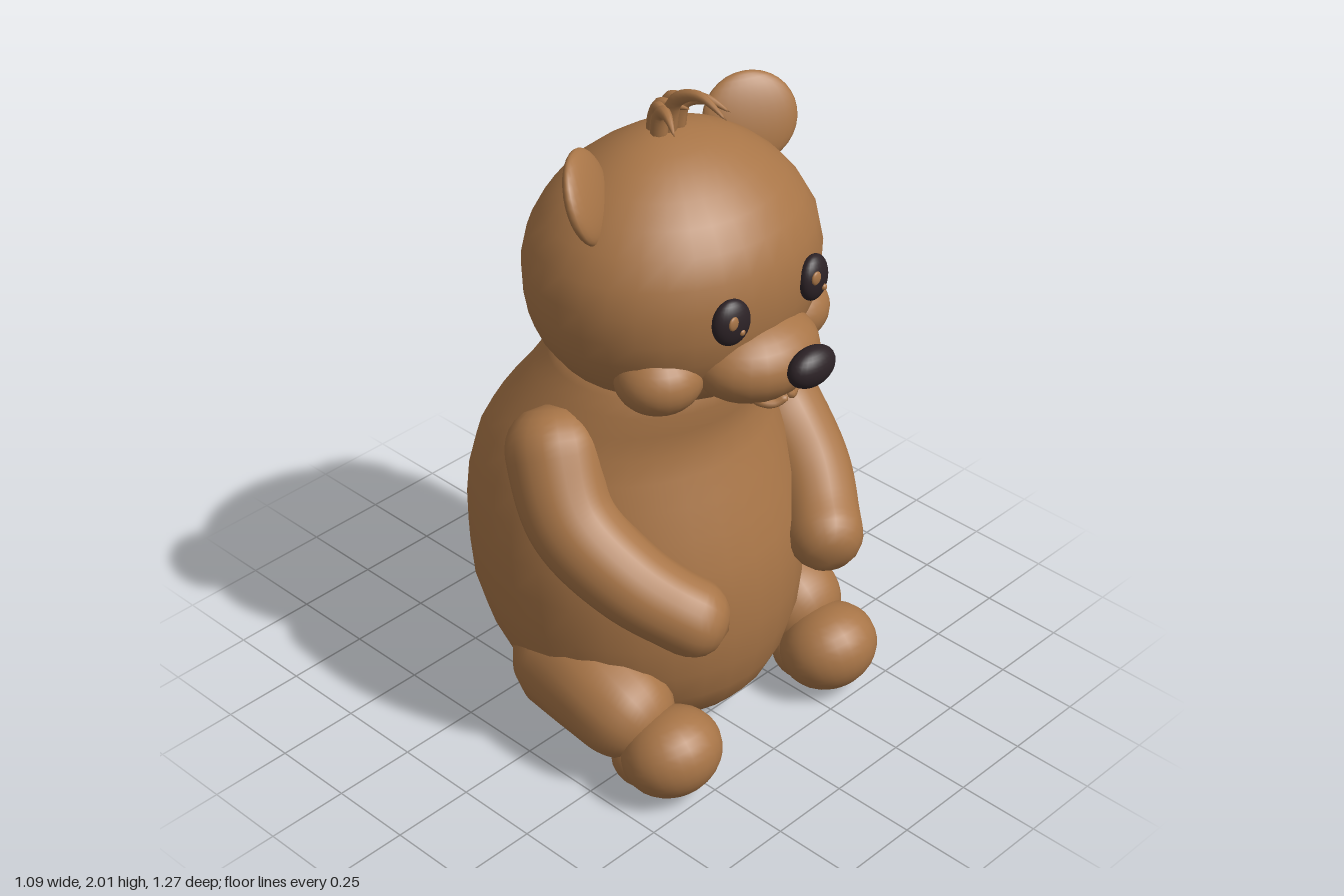
import * as THREE from 'three';
import { mergeVertices } from 'three/addons/utils/BufferGeometryUtils.js';

const fur = new THREE.MeshStandardMaterial({ color: 0xa87547 });
fur.name = 'brown fur';
const dark = new THREE.MeshStandardMaterial({ color: 0x2c2226 });
dark.name = 'dark eyes and nose';

function add(parent, name, geometry, material = fur) {
  const mesh = new THREE.Mesh(geometry, material);
  mesh.name = name;
  parent.add(mesh);
  return mesh;
}

function ellipsoid(parent, name, pos, radii, material = fur, rot = [0, 0, 0]) {
  const mesh = add(parent, name, new THREE.SphereGeometry(1, 24, 16), material);
  mesh.position.set(...pos);
  mesh.scale.set(...radii);
  mesh.rotation.set(...rot);
  return mesh;
}

// Elliptical rings stacked upward; each row is [y, half width, front z, back z]
function loft(rows, segs = 32) {
  const pos = [], index = [];
  rows.forEach(([y, w, f, b], r) => {
    for (let i = 0; i < segs; i++) {
      const a = (i / segs) * Math.PI * 2;
      pos.push(w * Math.sin(a), y, (f + b) / 2 + ((f - b) / 2) * Math.cos(a));
      if (r === 0) continue;
      const j = (i + 1) % segs, lo = (r - 1) * segs, hi = r * segs;
      index.push(lo + i, lo + j, hi + j, lo + i, hi + j, hi + i);
    }
  });
  const g = new THREE.BufferGeometry();
  g.setAttribute('position', new THREE.Float32BufferAttribute(pos, 3));
  g.setIndex(index);
  g.computeVertexNormals();
  return g;
}

// Tube along a curve with varying radius and rounded ends
function limb(points, radii, n = 40, segs = 18) {
  const curve = new THREE.CatmullRomCurve3(points.map(p => new THREE.Vector3(...p)));
  const len = curve.getLength();
  const g = new THREE.TubeGeometry(curve, n, 1, segs);
  const p = g.attributes.position, v = new THREE.Vector3();
  for (let i = 0; i <= n; i++) {
    const u = i / n, c = curve.getPointAt(u);
    const k = Math.min(Math.floor(u * (radii.length - 1)), radii.length - 2);
    let r = THREE.MathUtils.lerp(radii[k], radii[k + 1], u * (radii.length - 1) - k);
    const d = Math.min(u, 1 - u) * len;
    if (d < r) r *= Math.sqrt(Math.max(0, 1 - (1 - d / r) ** 2));
    for (let j = 0; j <= segs; j++) {
      const id = i * (segs + 1) + j;
      v.fromBufferAttribute(p, id).sub(c).multiplyScalar(r).add(c);
      p.setXYZ(id, v.x, v.y, v.z);
    }
  }
  g.deleteAttribute('uv');
  g.deleteAttribute('normal');
  const merged = mergeVertices(g, 1e-5);
  merged.computeVertexNormals();
  return merged;
}

export function createModel() {
  const bear = new THREE.Group();
  bear.name = 'bear';

  // Torso with a soft neck fold
  add(bear, 'body', loft([
    [0.045, 0, 0.05, 0.05], [0.05, 0.15, 0.22, -0.17], [0.09, 0.27, 0.32, -0.29],
    [0.15, 0.36, 0.37, -0.39], [0.22, 0.42, 0.4, -0.44], [0.32, 0.46, 0.425, -0.49],
    [0.43, 0.482, 0.435, -0.53], [0.55, 0.49, 0.43, -0.54], [0.65, 0.488, 0.41, -0.54],
    [0.75, 0.475, 0.38, -0.53], [0.85, 0.455, 0.345, -0.5], [0.93, 0.43, 0.315, -0.455],
    [1.0, 0.4, 0.295, -0.405], [1.07, 0.365, 0.3, -0.35], [1.13, 0.335, 0.31, -0.31],
    [1.18, 0.305, 0.305, -0.27], [1.24, 0.27, 0.27, -0.24], [1.3, 0, 0, 0],
  ]));

  // Head
  const head = new THREE.Group();
  head.name = 'head';
  bear.add(head);
  add(head, 'skull', loft([
    [1.155, 0, 0.08, 0.08], [1.16, 0.16, 0.28, -0.1], [1.185, 0.26, 0.345, -0.19],
    [1.23, 0.325, 0.385, -0.235], [1.3, 0.38, 0.425, -0.265], [1.37, 0.415, 0.45, -0.283],
    [1.44, 0.43, 0.462, -0.292], [1.52, 0.434, 0.464, -0.295], [1.6, 0.415, 0.45, -0.28],
    [1.67, 0.375, 0.415, -0.245], [1.73, 0.325, 0.365, -0.2], [1.78, 0.265, 0.305, -0.14],
    [1.82, 0.2, 0.24, -0.08], [1.845, 0.135, 0.18, -0.03], [1.86, 0.07, 0.12, 0.02],
    [1.863, 0, 0.07, 0.07],
  ]));
  ellipsoid(head, 'muzzle', [0, 1.315, 0.385], [0.195, 0.122, 0.165]);
  ellipsoid(head, 'chin', [0, 1.225, 0.41], [0.09, 0.04, 0.075]);
  ellipsoid(head, 'nose', [0, 1.355, 0.588], [0.081, 0.056, 0.046], dark);

  for (const s of [1, -1]) {
    ellipsoid(head, 'cheek', [s * 0.25, 1.3, 0.275], [0.125, 0.1, 0.12]);
    add(head, 'lip', limb([[s * 0.005, 1.235, 0.515], [s * 0.035, 1.215, 0.495],
      [s * 0.07, 1.225, 0.475], [s * 0.1, 1.25, 0.475]], [0.012, 0.014, 0.01], 14, 8));
    ellipsoid(head, 'eye', [s * 0.16, 1.5, 0.447], [0.058, 0.066, 0.032], dark, [-0.05, s * 0.2, 0]);
    ellipsoid(head, 'eyeGlint', [s * 0.16 - 0.028, 1.522, 0.482], [0.017, 0.02, 0.007]);
    ellipsoid(head, 'smallEyeGlint', [s * 0.16 + 0.01, 1.478, 0.478], [0.009, 0.009, 0.007]);
    ellipsoid(head, 'ear', [s * 0.31, 1.785, 0.075], [0.135, 0.128, 0.036], fur,
      [-0.38, -s * 0.5, -s * 0.12]);
  }

  // Tuft of curved hair: [base x, base z, peak y, tip x, tip z, tip y]
  const strands = [
    [0, 0.06, 2.005, 0.008, 0.268, 1.955], [-0.03, 0.06, 1.955, -0.095, 0.18, 1.915],
    [0.035, 0.06, 1.96, 0.1, 0.195, 1.92], [-0.015, 0.03, 1.945, -0.05, 0.125, 1.92],
    [0.04, 0.015, 1.95, 0.06, 0.11, 1.935], [0, 0.015, 1.94, 0.025, 0.12, 1.93],
  ];
  for (const [bx, bz, py, tx, tz, ty] of strands) {
    const mix = t => [bx + (tx - bx) * t, bz + (tz - bz) * t];
    const [ax, az] = mix(0.15), [mx, mz] = mix(0.55);
    add(head, 'hairStrand', limb([[bx, 1.83, bz], [ax, (1.85 + py) / 2 + 0.025, az],
      [mx, py - 0.012, mz], [tx, ty, tz]], [0.025, 0.022, 0.015, 0.002], 18, 8));
  }

  // Arms and legs
  for (const s of [1, -1]) {
    const side = s > 0 ? 'left' : 'right';
    add(bear, side + 'Arm', limb([[s * 0.33, 1.1, -0.06], [s * 0.375, 0.99, 0],
      [s * 0.415, 0.83, 0.11], [s * 0.375, 0.7, 0.28], [s * 0.28, 0.6, 0.42],
      [s * 0.21, 0.555, 0.505]], [0.14, 0.135, 0.128, 0.12, 0.112, 0.112]));
    add(bear, side + 'Leg', limb([[s * 0.24, 0.25, -0.17], [s * 0.3, 0.245, 0],
      [s * 0.355, 0.235, 0.19], [s * 0.345, 0.16, 0.38]], [0.2, 0.19, 0.155, 0.13]));
    ellipsoid(bear, side + 'Foot', [s * 0.335, 0.145, 0.41], [0.15, 0.128, 0.142], fur, [-0.5, 0, 0]);
    ellipsoid(bear, side + 'Heel', [s * 0.34, 0.105, 0.335], [0.12, 0.103, 0.11]);
  }

  // Tail
  add(bear, 'tail', limb([[0, 0.28, -0.36], [0, 0.24, -0.48], [0, 0.2, -0.63]],
    [0.09, 0.1, 0.118, 0.118]));

  return bear;
}
